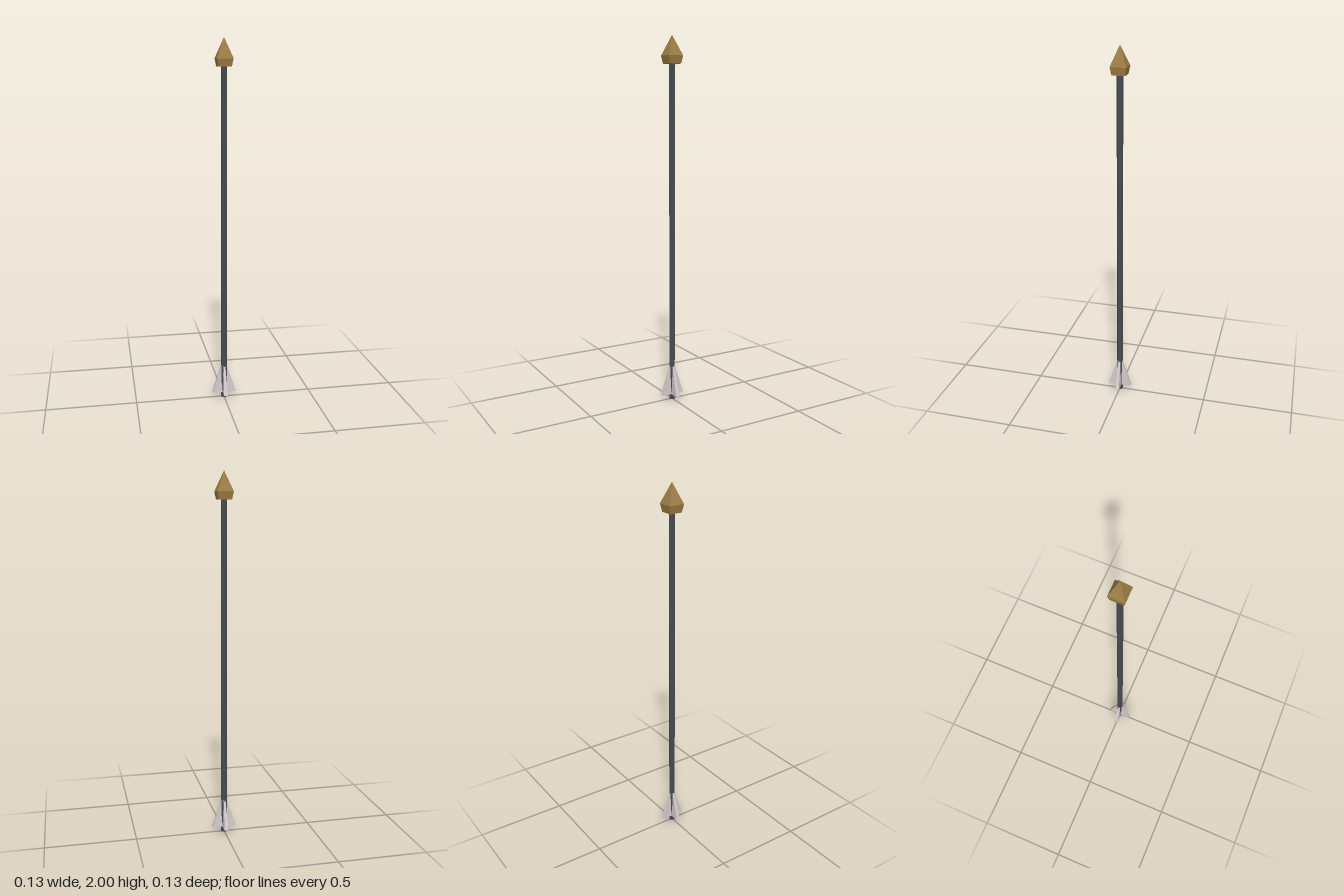
import * as THREE from 'three';

const flat = (name, color) => {
  const m = new THREE.MeshStandardMaterial({ color, flatShading: true });
  m.name = name;
  return m;
};

export function createModel() {
  const group = new THREE.Group();
  const darkSteel = flat('darkSteel', 0x474c53);
  const bronze = flat('bronze', 0x9d7e46);
  const paleGrey = flat('paleGrey', 0xd3c9cb);

  const add = (name, geometry, material, parent = group) => {
    const mesh = new THREE.Mesh(geometry, material);
    mesh.name = name;
    parent.add(mesh);
    return mesh;
  };

  // Frustum standing between two heights
  const frustum = (rTop, rBottom, y0, y1, sides, open = false) =>
    new THREE.CylinderGeometry(rTop, rBottom, y1 - y0, sides, 1, open).translate(0, (y0 + y1) / 2, 0);

  // Hexagonal shaft
  add('shaft', frustum(0.0175, 0.0175, 0, 1.87, 6), darkSteel);

  // Square arrowhead: long point above a short tapered collar
  const head = new THREE.Group();
  head.name = 'arrowhead';
  head.rotation.y = Math.PI / 4;
  group.add(head);
  const d = Math.SQRT2;
  add('point', frustum(0, 0.043 * d, 1.893, 2, 4, true), bronze, head);
  add('collar', frustum(0.043 * d, 0.035 * d, 1.851, 1.893, 4), bronze, head);

  // Four fins, widening and thickening towards the tail
  const finGeometry = new THREE.BoxGeometry(1, 1, 1);
  const p = finGeometry.attributes.position;
  for (let i = 0; i < p.count; i++) {
    const top = p.getY(i) > 0;
    const outer = p.getX(i) > 0;
    p.setXYZ(
      i,
      outer ? (top ? 0.012 : 0.067) : 0,
      top ? 0.2 : 0.03,
      Math.sign(p.getZ(i)) * (top ? 0.005 : 0.011)
    );
  }
  finGeometry.computeVertexNormals();
  for (let i = 0; i < 4; i++) {
    add('fin' + (i + 1), finGeometry, paleGrey).rotation.y = (i * Math.PI) / 2;
  }

  return group;
}
